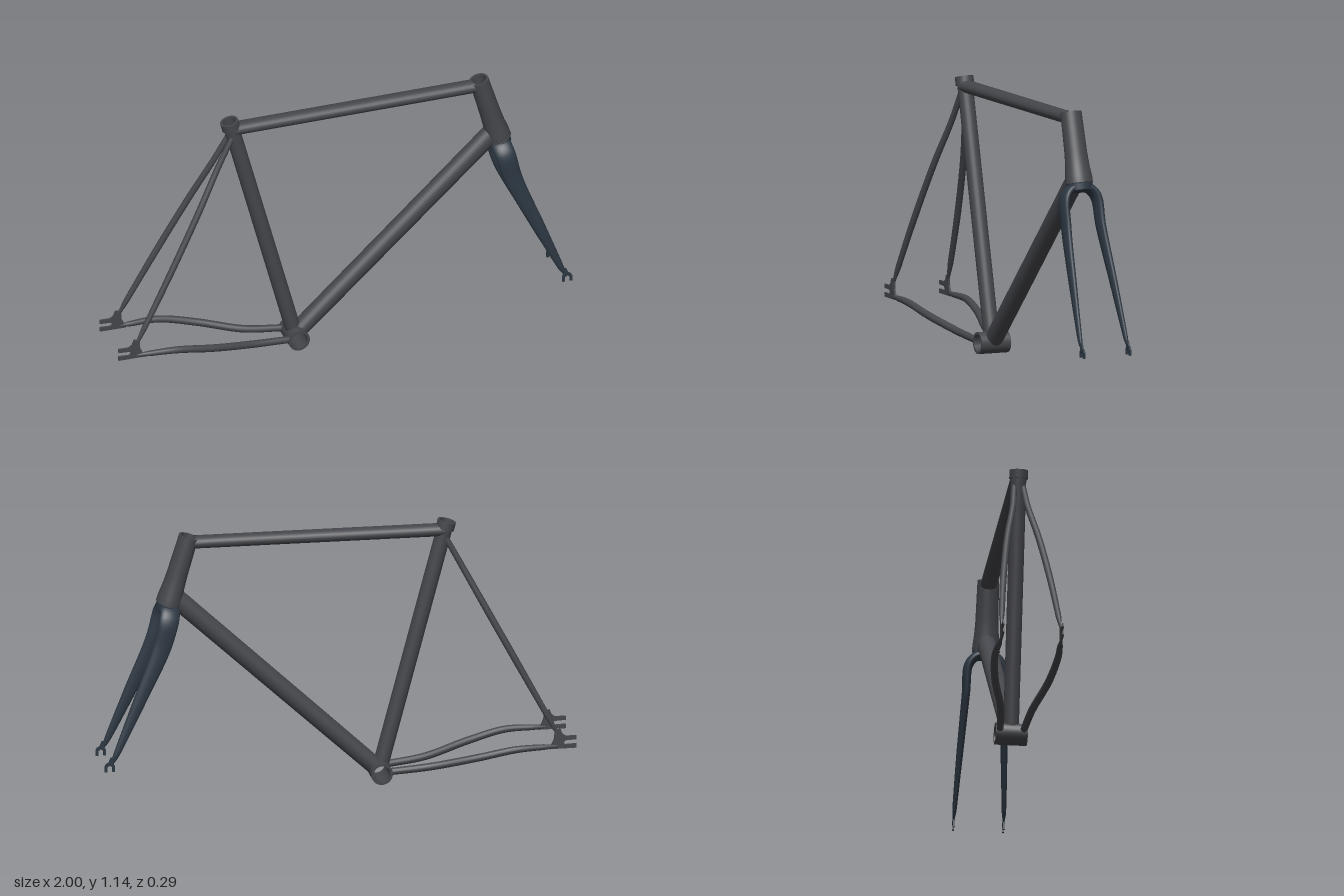
import * as THREE from 'three';

const Z = new THREE.Vector3(0, 0, 1);
const frameMat = new THREE.MeshStandardMaterial({ color: 0x45464b, side: THREE.DoubleSide });
const forkMat = new THREE.MeshStandardMaterial({ color: 0x2d3843, side: THREE.DoubleSide });

// Sweeps an ellipse along stations [x, y, z, radius across, radius along ref].
// copeStart / copeEnd cut the ends to fit round a crossing tube of that radius.
function sweep(stations, { ref = Z, steps = 8, sides = 24, copeStart, copeEnd } = {}) {
  const curve = new THREE.CatmullRomCurve3(
    stations.map(([x, y, z]) => new THREE.Vector3(x, y, z)), false, 'centripetal');
  const n = (stations.length - 1) * steps;
  const pos = [], index = [];
  for (let i = 0; i <= n; i++) {
    const k = Math.min(Math.floor(i / steps), stations.length - 2);
    const f = i / steps - k;
    const across = THREE.MathUtils.lerp(stations[k][3], stations[k + 1][3], f);
    const along = THREE.MathUtils.lerp(stations[k][4], stations[k + 1][4], f);
    const c = curve.getPoint(i / n), t = curve.getTangent(i / n);
    const a = ref.clone().addScaledVector(t, -ref.dot(t)).normalize();
    const b = t.clone().cross(a);
    for (let j = 0; j < sides; j++) {
      const th = (j / sides) * Math.PI * 2;
      const u = along * Math.cos(th), v = across * Math.sin(th);
      const p = c.clone().addScaledVector(a, u).addScaledVector(b, v);
      if (i === 0 && copeStart) {
        const d = copeStart.inPlane ? v : u;
        p.addScaledVector(t, Math.sqrt(Math.max(0, copeStart.r ** 2 - d * d)));
      }
      if (i === n && copeEnd) p.addScaledVector(t, -Math.sqrt(Math.max(0, copeEnd ** 2 - u * u)));
      pos.push(p.x, p.y, p.z);
      if (i < n) {
        const j2 = (j + 1) % sides, r0 = i * sides, r1 = r0 + sides;
        index.push(r0 + j, r0 + j2, r1 + j, r0 + j2, r1 + j2, r1 + j);
      }
    }
  }
  const g = new THREE.BufferGeometry();
  g.setAttribute('position', new THREE.Float32BufferAttribute(pos, 3));
  g.setIndex(index);
  g.computeVertexNormals();
  return g;
}

// Turned part; corners are kept crisp by lathing each straight run separately.
function turned(name, runs, mat) {
  const group = new THREE.Group();
  group.name = name;
  for (const run of runs) {
    const pts = run.map(([r, y]) => new THREE.Vector2(r, y));
    group.add(new THREE.Mesh(new THREE.LatheGeometry(pts, 40), mat));
  }
  return group;
}

// Thin plate in the x-y plane, centred on z = 0.
function plate(points, thickness) {
  const shape = new THREE.Shape(points.map(([x, y]) => new THREE.Vector2(x, y)));
  const g = new THREE.ExtrudeGeometry(shape, { depth: thickness, bevelEnabled: false });
  return g.translate(0, 0, -thickness / 2);
}

export function createModel() {
  const model = new THREE.Group();
  model.name = 'bicycleFrame';
  const add = (name, geometry, mat = frameMat) => {
    const m = new THREE.Mesh(geometry, mat);
    m.name = name;
    model.add(m);
    return m;
  };

  // Bottom bracket shell, open from side to side
  const bb = [-0.186, 0.046];
  const shell = turned('bottomBracketShell', [
    [[0.046, -0.067], [0.046, 0.067]],
    [[0.046, 0.067], [0.036, 0.067]],
    [[0.036, 0.067], [0.036, -0.067]],
    [[0.036, -0.067], [0.046, -0.067]],
  ], frameMat);
  shell.rotation.x = Math.PI / 2;
  shell.position.set(bb[0], bb[1], 0);
  model.add(shell);

  // Main triangle
  add('seatTube', sweep([[...bb, 0, 0.033, 0.033], [-0.469, 1.118, 0, 0.033, 0.033]],
    { copeStart: { r: 0.042, inPlane: true } }));
  add('downTube', sweep([[...bb, 0, 0.037, 0.039], [0.7, 0.88, 0, 0.042, 0.039]],
    { copeStart: { r: 0.042, inPlane: true }, copeEnd: 0.036 }));
  add('topTube', sweep([[-0.461, 1.09, 0, 0.027, 0.035], [0.63, 1.102, 0, 0.027, 0.035]],
    { copeStart: { r: 0.029 }, copeEnd: 0.037 }));

  // Seat collar
  const collar = turned('seatCollar', [
    [[0.039, -0.02], [0.039, 0.016]],
    [[0.039, 0.016], [0.029, 0.016]],
    [[0.029, 0.016], [0.029, -0.1]],
    [[0.032, -0.02], [0.039, -0.02]],
  ], frameMat);
  collar.position.set(-0.469, 1.113, 0);
  collar.rotation.z = Math.atan2(0.283, 1.072);
  model.add(collar);

  // Head tube, flaring towards the fork crown
  const tilt = Math.atan2(0.087, 0.29);
  const head = turned('headTube', [
    [[0.053, 0], [0.052, 0.03], [0.047, 0.075], [0.044, 0.13], [0.041, 0.303]],
    [[0.041, 0.303], [0.032, 0.303]],
    [[0.032, 0.303], [0.032, 0.1]],
    [[0.032, 0.1], [0, 0.1]],
    [[0, 0], [0.053, 0]],
  ], frameMat);
  head.scale.z = 1.1;
  head.position.set(0.71, 0.838, 0);
  head.rotation.z = tilt;
  model.add(head);

  // Crown race between head tube and fork
  const race = turned('crownRace', [
    [[0.046, -0.03], [0.049, -0.004]],
    [[0.049, -0.004], [0.04, 0.002]],
  ], forkMat);
  race.scale.z = 1.15;
  race.position.set(0.71, 0.838, 0);
  race.rotation.z = tilt;
  model.add(race);

  // Fork: one arch from tip to tip, over the crown
  const leg = [
    [0.709, 0.817, 0.04, 0.02, 0.043],
    [0.719, 0.782, 0.071, 0.019, 0.043],
    [0.752, 0.663, 0.079, 0.017, 0.039],
    [0.853, 0.433, 0.093, 0.014, 0.027],
    [0.95, 0.215, 0.104, 0.009, 0.013],
    [0.967, 0.18, 0.105, 0.003, 0.006],
  ];
  const mirrored = leg.map(([x, y, z, a, b]) => [x, y, -z, a, b]).reverse();
  const foreAft = new THREE.Vector3(Math.cos(tilt), Math.sin(tilt), 0);
  add('fork', sweep([...mirrored, [0.709, 0.82, 0, 0.02, 0.043], ...leg], { ref: foreAft }), forkMat);

  const forkEnd = plate([
    [-0.022, -0.02], [-0.022, 0.004], [-0.012, 0.02], [-0.016, 0.04], [-0.004, 0.042],
    [0.004, 0.021], [0.016, 0.014], [0.022, 0.004], [0.022, -0.02],
    [0.011, -0.02], [0.011, 0], [0, 0.008], [-0.011, 0], [-0.011, -0.02],
  ], 0.008);
  const rearEnd = plate([
    [-1, 0.189], [-0.955, 0.189], [-0.94, 0.2], [-0.932, 0.222], [-0.908, 0.216],
    [-0.905, 0.18], [-0.885, 0.135], [-1, 0.135],
    [-1, 0.154], [-0.952, 0.152], [-0.946, 0.161], [-0.952, 0.17], [-1, 0.172],
  ], 0.008);

  // Paired rear stays and wheel ends
  for (const [side, s] of [['left', 1], ['right', -1]]) {
    add(side + 'ForkEnd', forkEnd, forkMat).position.set(0.977, 0.165, 0.105 * s);
    add(side + 'RearDropout', rearEnd).position.z = 0.125 * s;
    add(side + 'ChainStay', sweep([
      [-0.222, 0.051, 0.05 * s, 0.015, 0.015],
      [-0.39, 0.068, 0.066 * s, 0.016, 0.016],
      [-0.58, 0.11, 0.112 * s, 0.016, 0.016],
      [-0.74, 0.143, 0.132 * s, 0.015, 0.015],
      [-0.86, 0.146, 0.128 * s, 0.012, 0.012],
      [-0.925, 0.145, 0.125 * s, 0.006, 0.004],
    ], { sides: 16 }));
    add(side + 'SeatStay', sweep([
      [-0.462, 1.065, 0.018 * s, 0.012, 0.012],
      [-0.53, 0.937, 0.031 * s, 0.013, 0.013],
      [-0.63, 0.747, 0.066 * s, 0.014, 0.014],
      [-0.76, 0.502, 0.098 * s, 0.014, 0.014],
      [-0.88, 0.276, 0.119 * s, 0.012, 0.012],
      [-0.921, 0.198, 0.125 * s, 0.007, 0.004],
    ], { sides: 16 }));
  }
  return model;
}
